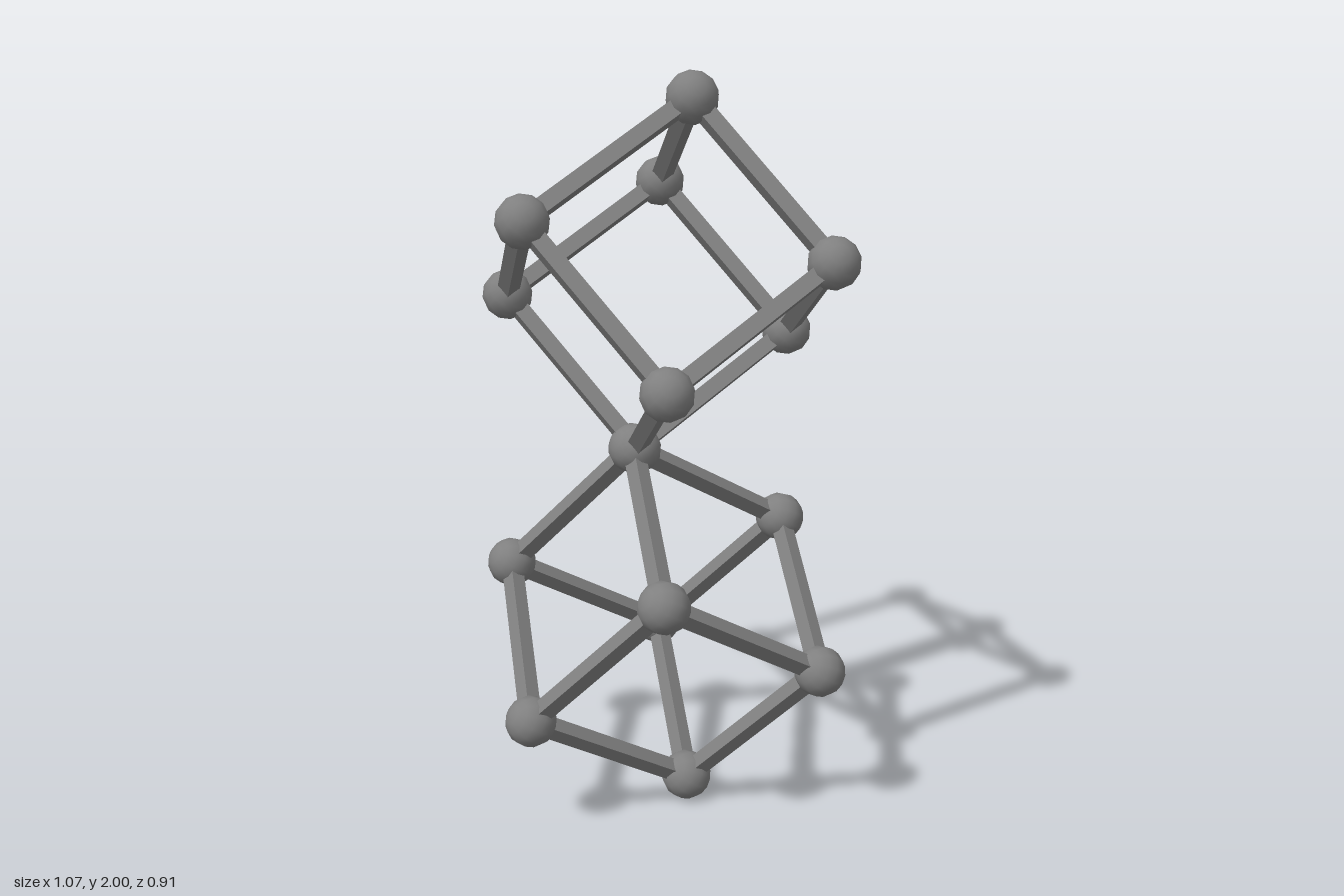
import * as THREE from 'three';

const EDGE = 0.545;   // cube edge length between joint centres
const BEAM = 0.042;   // square beam thickness
const BALL = 0.068;   // joint radius

export function createModel() {
  const model = new THREE.Group();
  model.name = 'cubeLattice';
  const grey = new THREE.MeshStandardMaterial({ color: 0x808080 });
  grey.name = 'grey';

  const ballGeo = new THREE.SphereGeometry(BALL, 12, 8);
  const beamGeos = [0, 1, 2].map((axis) => {
    const size = [BEAM, BEAM, BEAM];
    size[axis] = EDGE;
    return new THREE.BoxGeometry(...size);
  });

  function add(parent, geo, name, position) {
    const mesh = new THREE.Mesh(geo, grey);
    mesh.name = name;
    mesh.position.set(...position);
    parent.add(mesh);
  }

  // Wireframe cube growing from its corner at the local origin
  function frameCube(name, x, up) {
    const cube = new THREE.Group();
    cube.name = name;
    for (const i of [0, 1]) for (const j of [0, 1]) {
      const u = i * EDGE, v = j * EDGE, mid = EDGE / 2;
      add(cube, beamGeos[0], 'beam', [mid, u, v]);
      add(cube, beamGeos[1], 'beam', [u, mid, v]);
      add(cube, beamGeos[2], 'beam', [u, v, mid]);
      for (const k of [0, 1]) add(cube, ballGeo, 'joint', [u, v, k * EDGE]);
    }
    // Stand the cube on an edge, tipped so one corner meets the other cube
    const h = Math.SQRT1_2;
    const basis = new THREE.Matrix4().makeBasis(
      new THREE.Vector3(-h, up * h, 0),
      new THREE.Vector3(0.5, up * 0.5, up * h),
      new THREE.Vector3(0.5, up * 0.5, -up * h)
    );
    cube.quaternion.setFromRotationMatrix(basis);
    cube.position.set(x, 1.003, 0);
    model.add(cube);
  }

  frameCube('upperCube', -0.078, 1);
  frameCube('lowerCube', -0.086, -1);
  return model;
}
